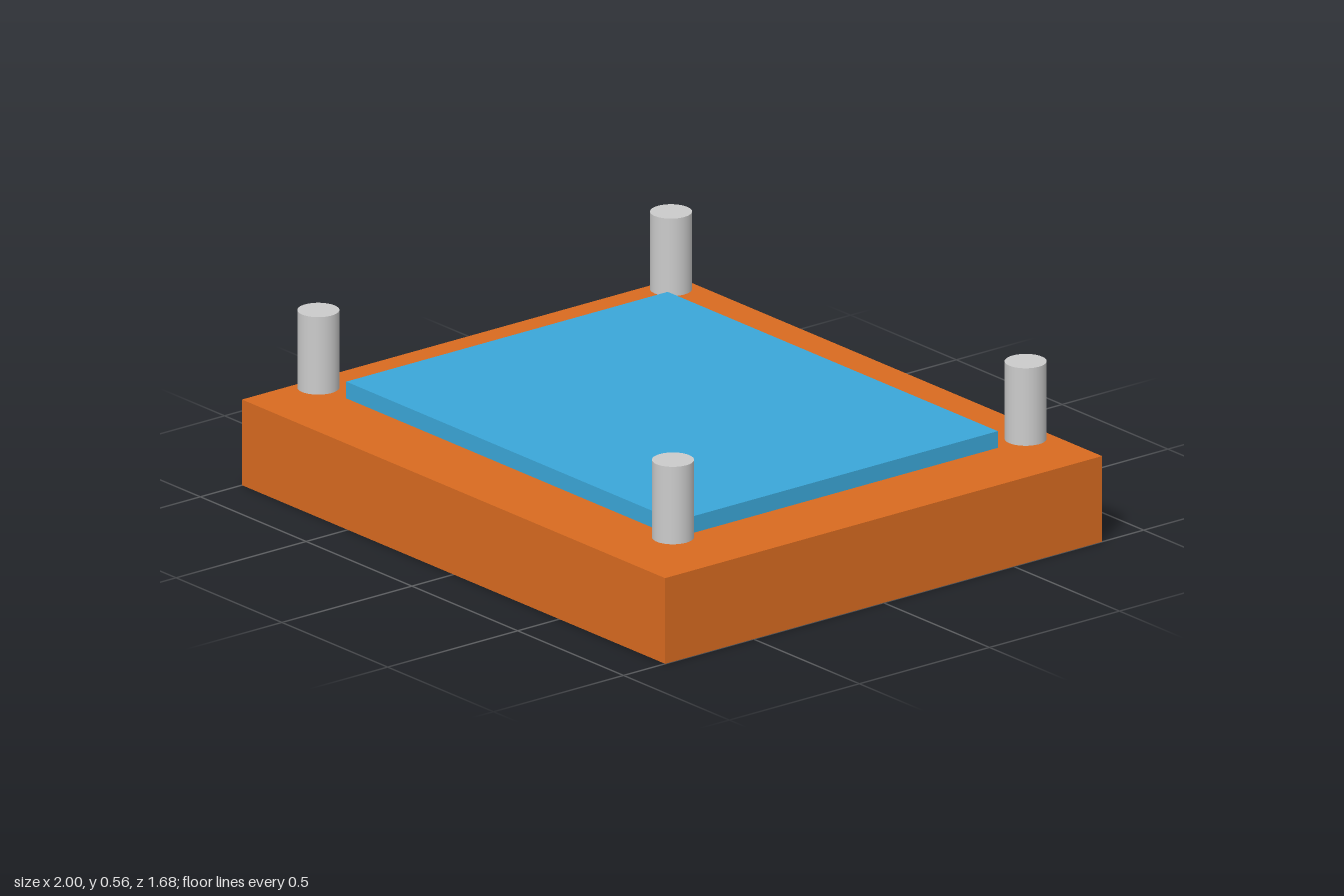
import * as THREE from 'three';

const orange = new THREE.MeshStandardMaterial({ color: 0xd96b20 });
const blue = new THREE.MeshStandardMaterial({ color: 0x3ba7d9 });
const grey = new THREE.MeshStandardMaterial({ color: 0xcccccc });

// Adds a named mesh whose underside sits at height y
function addPart(group, name, geometry, material, x, y, z) {
  geometry.computeBoundingBox();
  const mesh = new THREE.Mesh(geometry, material);
  mesh.name = name;
  mesh.position.set(x, y - geometry.boundingBox.min.y, z);
  group.add(mesh);
}

export function createModel() {
  const group = new THREE.Group();
  group.name = 'plateWithPosts';

  // Thick base slab
  addPart(group, 'base', new THREE.BoxGeometry(2, 0.272, 1.68), orange, 0, 0, 0);

  // Thin panel held just above the base
  addPart(group, 'panel', new THREE.BoxGeometry(1.56, 0.053, 1.236), blue, 0, 0.287, 0);

  // Four corner posts, hovering slightly above the base
  for (const [sideX, xName] of [[1, 'Left'], [-1, 'Right']]) {
    for (const [sideZ, zName] of [[1, 'front'], [-1, 'back']]) {
      const post = new THREE.CylinderGeometry(0.063, 0.063, 0.246, 32);
      addPart(group, `${zName}${xName}Post`, post, grey, sideX * 0.838, 0.319, sideZ * 0.678);
    }
  }

  return group;
}
